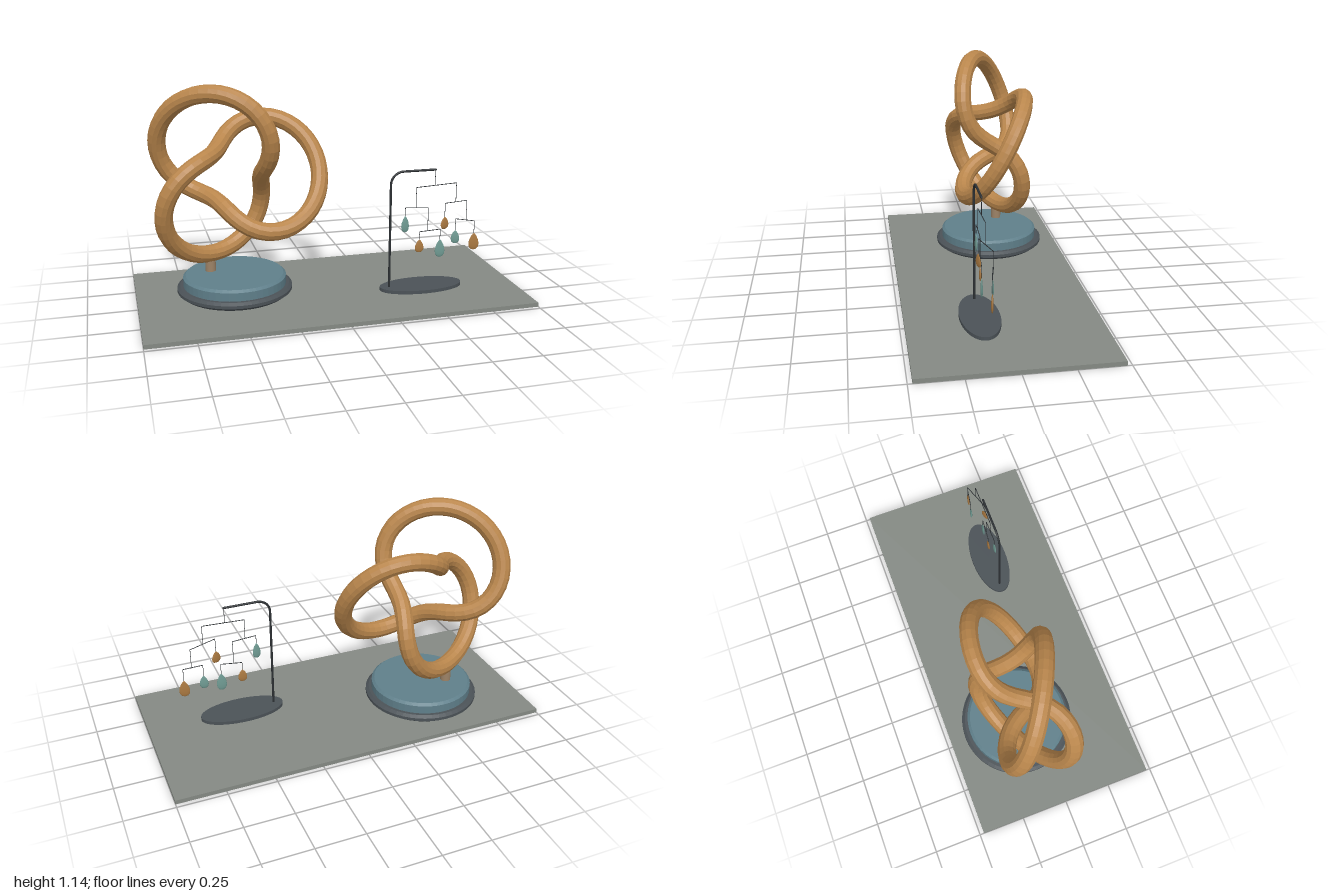
import * as THREE from 'three';

const mat = (name, color, extra = {}) => {
  const m = new THREE.MeshStandardMaterial({ color, ...extra });
  m.name = name;
  return m;
};

// Three-lobed knot standing upright in the xy plane
class KnotCurve extends THREE.Curve {
  getPoint(t, target = new THREE.Vector3()) {
    const a = t * Math.PI * 2;
    const r = 0.31 + 0.154 * Math.cos(3 * a);
    return target.set(r * Math.cos(2 * a), r * Math.sin(2 * a), -0.167 * Math.sin(3 * a));
  }
}

export function createModel() {
  const model = new THREE.Group();
  const M = {
    ground: mat('ground grey', 0x848983),
    dark: mat('dark slate', 0x4b5257, { flatShading: true }),
    blue: mat('slate blue', 0x5f7f8a, { flatShading: true }),
    bronze: mat('bronze', 0xb9864c, { flatShading: true }),
    post: mat('post tan', 0x9c8266),
    wire: mat('wire black', 0x2c3033),
    amber: mat('amber leaf', 0xa97840),
    teal: mat('teal leaf', 0x6f9a92),
  };
  const add = (name, geo, material, x = 0, y = 0, z = 0, parent = model) => {
    const m = new THREE.Mesh(geo, material);
    m.name = name;
    m.position.set(x, y, z);
    parent.add(m);
    return m;
  };
  const lathe = (pts, n) => new THREE.LatheGeometry(pts.map(p => new THREE.Vector2(...p)), n);

  // Ground slab
  add('groundSlab', new THREE.BoxGeometry(2, 0.022, 0.955), M.ground, 0, 0.011, 0);

  // Knot sculpture on its round pedestal
  const kx = -0.485, kz = -0.091;
  add('pedestalPlinth', lathe([[0, 0.022], [0.28, 0.022], [0.304, 0.04], [0.304, 0.056], [0.288, 0.068], [0, 0.068]], 48), M.dark, kx, 0, kz);
  add('pedestalDrum', lathe([[0.272, 0.066], [0.272, 0.112], [0.258, 0.124], [0, 0.124]], 48), M.blue, kx, 0, kz);
  add('sculpturePost', new THREE.CylinderGeometry(0.028, 0.028, 0.09, 20), M.post, -0.604, 0.165, -0.155);
  add('knot', new THREE.TubeGeometry(new KnotCurve(), 110, 0.046, 12, true), M.bronze, kx, 0.656, kz);

  // Mobile stand: oval foot and bent pole
  const mobile = new THREE.Group();
  mobile.name = 'mobile';
  model.add(mobile);
  const sz = 0.11;
  add('standFoot', new THREE.CylinderGeometry(0.228, 0.228, 0.018, 48), M.dark, 0.49, 0.031, sz, mobile).scale.z = 0.44;
  const V = (x, y, z = sz) => new THREE.Vector3(x, y, z);
  const pole = new THREE.CurvePath();
  pole.add(new THREE.LineCurve3(V(0.312, 0.035), V(0.312, 0.6)));
  pole.add(new THREE.CubicBezierCurve3(V(0.312, 0.6), V(0.312, 0.64), V(0.343, 0.669), V(0.382, 0.669)));
  pole.add(new THREE.LineCurve3(V(0.382, 0.669), V(0.557, 0.669)));
  add('standPole', new THREE.TubeGeometry(pole, 80, 0.006, 10), M.wire, 0, 0, 0, mobile);
  for (const [x, y] of [[0.312, 0.035], [0.557, 0.669]]) {
    add('poleEnd', new THREE.SphereGeometry(0.006, 10, 8), M.wire, x, y, sz, mobile);
  }

  // Straight wire between two points
  const wire = (name, a, b, r = 0.002) => {
    const d = b.clone().sub(a);
    const mid = a.clone().add(b).multiplyScalar(0.5);
    const m = add(name, new THREE.CylinderGeometry(r, r, d.length(), 6), M.wire, mid.x, mid.y, mid.z, mobile);
    m.quaternion.setFromUnitVectors(new THREE.Vector3(0, 1, 0), d.normalize());
  };
  // Flattened teardrop on a string
  const drop = lathe([[0, -0.5], [0.28, -0.45], [0.45, -0.32], [0.5, -0.14], [0.44, 0.08], [0.28, 0.3], [0.1, 0.45], [0, 0.5]], 20);
  const leaf = (from, top, h, w, material, turn) => {
    wire('leafString', from, V(from.x, top, from.z), 0.0014);
    const m = add('leaf', drop, material, from.x, top - h / 2, from.z, mobile);
    m.scale.set(w, h, 0.012);
    m.rotation.y = turn;
  };

  // Balance bars: left end and right end of each
  const bars = [
    [V(0.453, 0.579, 0.112), V(0.678, 0.589, 0.109)],
    [V(0.394, 0.473, 0.112), V(0.522, 0.464, 0.112)],
    [V(0.479, 0.332, 0.105), V(0.592, 0.341, 0.115)],
    [V(0.608, 0.488, 0.133), V(0.752, 0.481, 0.085)],
    [V(0.694, 0.38, 0.079), V(0.795, 0.366, 0.098)],
  ];
  bars.forEach(([a, b]) => wire('balanceBar', a, b));

  // Strings joining the bars
  const hang = (p, y) => wire('string', p, V(p.x, y, p.z), 0.0014);
  hang(V(0.557, 0.669), 0.584);
  hang(bars[0][0], 0.469);
  hang(bars[0][1], 0.484);
  hang(bars[1][1], 0.336);
  hang(bars[3][1], 0.372);

  // Hanging leaves
  leaf(bars[1][0], 0.428, 0.09, 0.043, M.teal, 0);
  leaf(bars[2][0], 0.289, 0.072, 0.048, M.amber, -0.1);
  leaf(bars[2][1], 0.284, 0.1, 0.054, M.teal, -0.1);
  leaf(bars[3][0], 0.414, 0.068, 0.052, M.amber, 0.3);
  leaf(bars[4][0], 0.316, 0.075, 0.047, M.teal, -0.2);
  leaf(bars[4][1], 0.298, 0.095, 0.056, M.amber, -0.2);

  return model;
}
